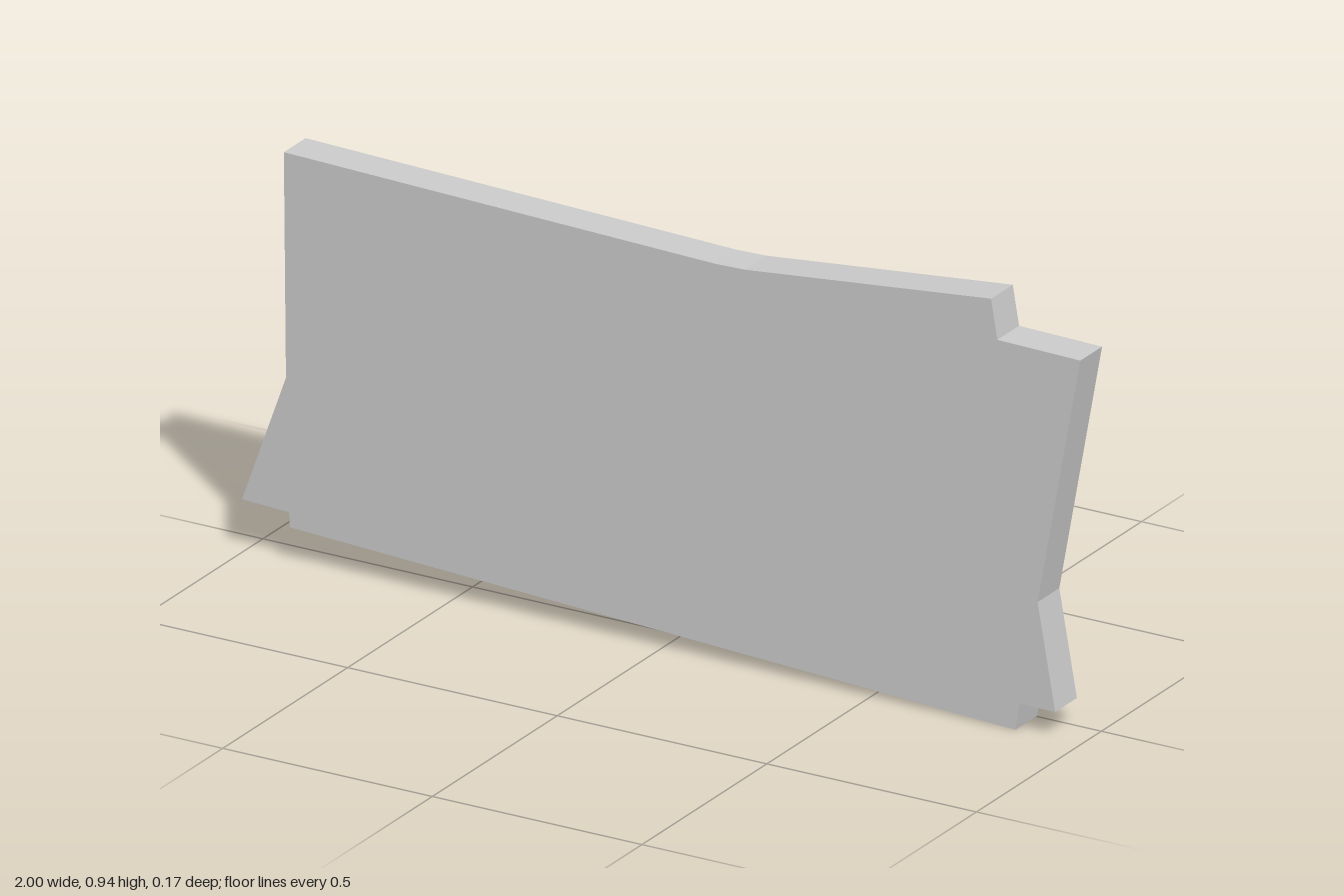
import * as THREE from 'three';

// Ragged sign-board outline, counter-clockwise seen from the front
const OUTLINE = [
  [-0.885, 0.08], [0.845, 0.0], [0.855, 0.06], [0.94, 0.06], [0.898, 0.295],
  [1.0, 0.853], [0.802, 0.857], [0.787, 0.945], [0.2, 0.884], [0.13, 0.882],
  [-0.9, 0.91], [-0.895, 0.41], [-1.0, 0.118], [-0.888, 0.113],
].map(([x, y]) => new THREE.Vector2(x, y));

const FRONT_Z = 0.084, BACK_Z = -0.003, RIM_Z = -0.084;

// Open band of walls following a closed outline between two depths
function wallBand(points, zNear, zFar) {
  const positions = [];
  points.forEach((a, i) => {
    const b = points[(i + 1) % points.length];
    positions.push(
      a.x, a.y, zFar, b.x, b.y, zFar, b.x, b.y, zNear,
      a.x, a.y, zFar, b.x, b.y, zNear, a.x, a.y, zNear);
  });
  const geometry = new THREE.BufferGeometry();
  geometry.setAttribute('position', new THREE.Float32BufferAttribute(positions, 3));
  geometry.computeVertexNormals();
  return geometry;
}

export function createModel() {
  const model = new THREE.Group();
  model.name = 'signBoard';

  // Solid front board
  const board = new THREE.Mesh(
    new THREE.ExtrudeGeometry(new THREE.Shape(OUTLINE), { depth: FRONT_Z - BACK_Z, bevelEnabled: false }),
    new THREE.MeshStandardMaterial({ color: 0xcccccc, flatShading: true }));
  board.position.z = BACK_Z;
  board.name = 'board';
  model.add(board);

  // Thin open rim on the back, a smaller copy of the outline
  const rimOutline = OUTLINE.map(p => new THREE.Vector2(p.x * 0.632, p.y * 0.632 + 0.175));
  const rim = new THREE.Mesh(
    wallBand(rimOutline, BACK_Z, RIM_Z),
    new THREE.MeshStandardMaterial({ color: 0xcccccc, flatShading: true, side: THREE.DoubleSide }));
  rim.name = 'backRim';
  model.add(rim);

  return model;
}
